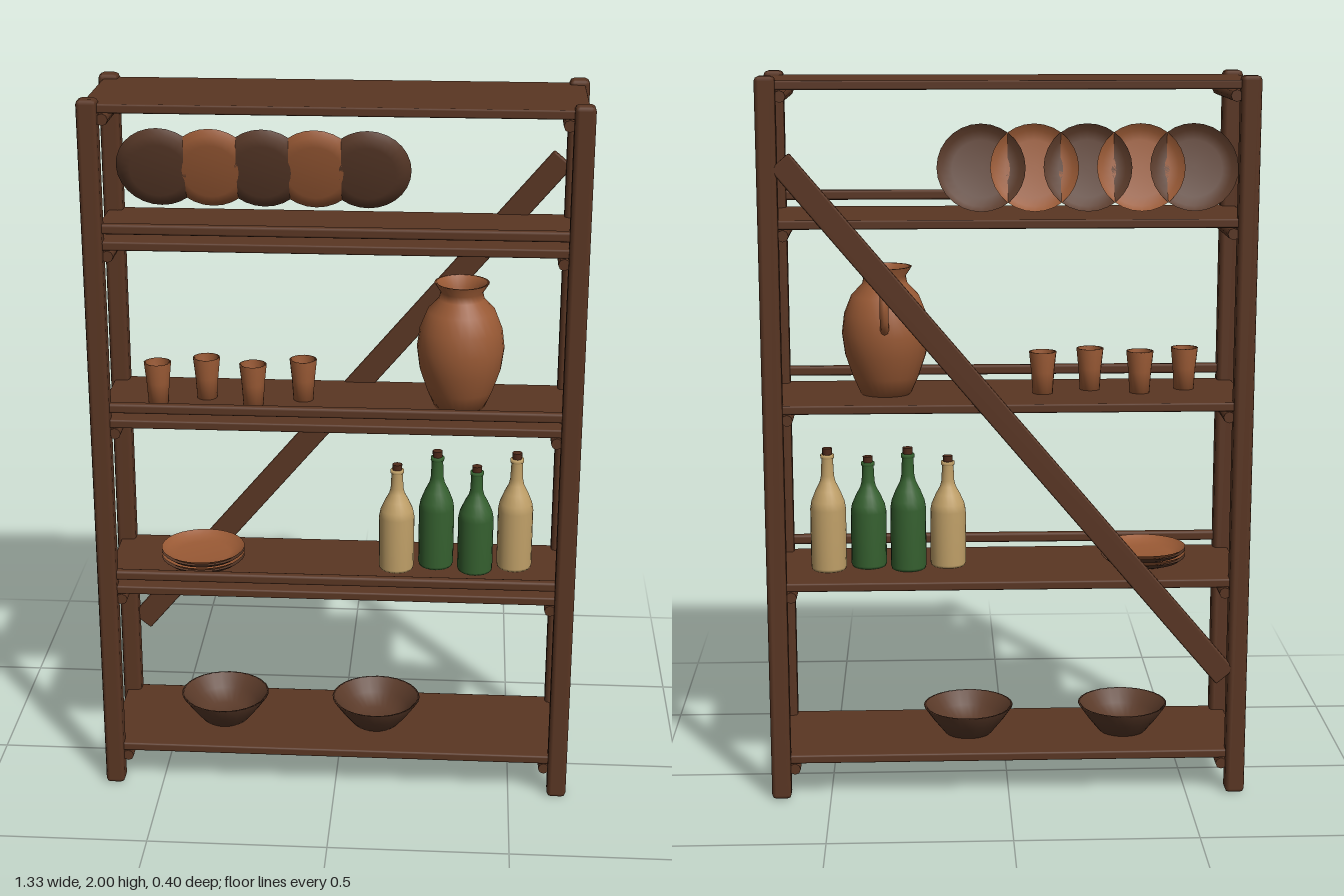
import * as THREE from 'three';
import { RoundedBoxGeometry } from 'three/addons/geometries/RoundedBoxGeometry.js';

const mat = (name, color, side = THREE.FrontSide) => {
  const m = new THREE.MeshStandardMaterial({ color, side });
  m.name = name;
  return m;
};

export function createModel() {
  const root = new THREE.Group();
  root.name = 'shelfRack';

  const wood = mat('darkWood', 0x5a3623);
  const clay = mat('terracotta', 0x9a5a35, THREE.DoubleSide);
  const darkClay = mat('darkClay', 0x5a3a29, THREE.DoubleSide);
  const green = mat('greenGlass', 0x35602f);
  const tan = mat('tanGlass', 0xc0a068);
  const cork = mat('cork', 0x4f2a1a);

  const add = (name, geo, material, x, y, z, parent = root) => {
    const mesh = new THREE.Mesh(geo, material);
    mesh.name = name;
    mesh.position.set(x, y, z);
    parent.add(mesh);
    return mesh;
  };
  const lathe = (pts, seg = 24) =>
    new THREE.LatheGeometry(pts.map(([r, y]) => new THREE.Vector2(r, y)), seg);
  const beam = (w, h, d, r) => new RoundedBoxGeometry(w, h, d, 1, r);

  // Four chamfered posts
  const postGeo = beam(0.054, 2, 0.055, 0.012);
  for (const x of [-0.638, 0.638]) {
    for (const z of [-0.17, 0.17]) add('post', postGeo, wood, x, 1, z);
  }

  // Shelf boards, each carried by two side cleats
  const boardGeo = beam(1.306, 0.024, 0.366, 0.005);
  const cleatGeo = new THREE.CylinderGeometry(0.016, 0.016, 0.36, 8);
  cleatGeo.rotateX(Math.PI / 2);
  for (const y of [0.113, 0.613, 1.111, 1.611, 1.976]) {
    add('shelf', boardGeo, wood, 0, y, 0);
    for (const x of [-0.6, 0.6]) add('cleat', cleatGeo, wood, x, y - 0.029, 0);
  }

  // Front guard rails on the three middle shelves
  const railGeo = beam(1.24, 0.027, 0.027, 0.007);
  for (const y of [0.657, 1.155, 1.656]) add('guardRail', railGeo, wood, 0, y, 0.17);

  // Diagonal back brace
  const brace = add('backBrace', beam(1.876, 0.066, 0.028, 0.005), wood, 0, 1.062, -0.181);
  brace.rotation.z = Math.atan2(1.435, 1.208);

  // Plates: a leaning row on the top shelf and a stack lower down
  const plateGeo = lathe([[0, 0], [0.078, 0], [0.103, 0.009], [0.119, 0.022]], 28);
  for (let i = 0; i < 5; i++) {
    const plate = add('leaningPlate', plateGeo, i % 2 ? clay : darkClay, -0.5 + i * 0.143, 1.749, -0.091);
    plate.rotation.x = -Math.PI / 2 + 0.27;
  }
  for (let i = 0; i < 4; i++) {
    add('stackedPlate', plateGeo, i % 2 ? clay : darkClay, -0.39, 0.626 + i * 0.009, 0);
  }

  // Cups, open at the top
  const cupGeo = lathe([
    [0, 0], [0.028, 0], [0.032, 0.06], [0.038, 0.117], [0.033, 0.117], [0.027, 0.012], [0, 0.012],
  ], 16);
  [-0.5, -0.37, -0.235, -0.1].forEach((x, i) =>
    add('cup', cupGeo, clay, x, 1.123, i % 2 ? -0.02 : 0.03));

  // Jug with a handle at the back
  const jug = new THREE.Group();
  jug.name = 'jug';
  jug.position.set(0.335, 1.123, 0);
  root.add(jug);
  add('jugBody', lathe([
    [0, 0], [0.07, 0], [0.092, 0.05], [0.112, 0.11], [0.12, 0.17], [0.113, 0.225], [0.093, 0.275],
    [0.062, 0.308], [0.058, 0.328], [0.075, 0.354], [0.068, 0.354], [0.05, 0.325], [0.05, 0.29], [0, 0.27],
  ], 28), clay, 0, 0, 0, jug);
  const handlePath = new THREE.CatmullRomCurve3([
    [0.3, -0.055], [0.316, -0.095], [0.298, -0.126], [0.255, -0.138], [0.21, -0.128], [0.185, -0.105],
  ].map(([y, z]) => new THREE.Vector3(0, y, z)));
  add('jugHandle', new THREE.TubeGeometry(handlePath, 20, 0.012, 8), clay, 0, 0, 0, jug);

  // Corked bottles, alternating in height and depth
  const bottleGeo = lathe([
    [0, 0], [0.047, 0], [0.05, 0.008], [0.05, 0.175], [0.046, 0.198], [0.034, 0.228], [0.022, 0.252],
    [0.018, 0.27], [0.016, 0.318], [0.019, 0.32], [0.019, 0.33], [0, 0.33],
  ], 20);
  const corkGeo = new THREE.CylinderGeometry(0.014, 0.013, 0.03, 12);
  [tan, green, green, tan].forEach((glass, i) => {
    const bottle = new THREE.Group();
    bottle.name = 'bottle';
    bottle.position.set(0.165 + i * 0.112, 0.625, i % 2 ? -0.03 : 0);
    bottle.scale.y = i % 2 ? 1 : 0.91;
    root.add(bottle);
    add('bottleGlass', bottleGeo, glass, 0, 0, 0, bottle);
    add('bottleCork', corkGeo, cork, 0, 0.333, 0, bottle);
  });

  // Flared bowls on the bottom shelf
  const bowlGeo = lathe([
    [0, 0], [0.068, 0], [0.1, 0.04], [0.128, 0.08], [0.121, 0.08], [0.094, 0.044], [0.062, 0.01], [0, 0.008],
  ], 28);
  for (const x of [-0.335, 0.11]) add('bowl', bowlGeo, darkClay, x, 0.125, 0);

  return root;
}
